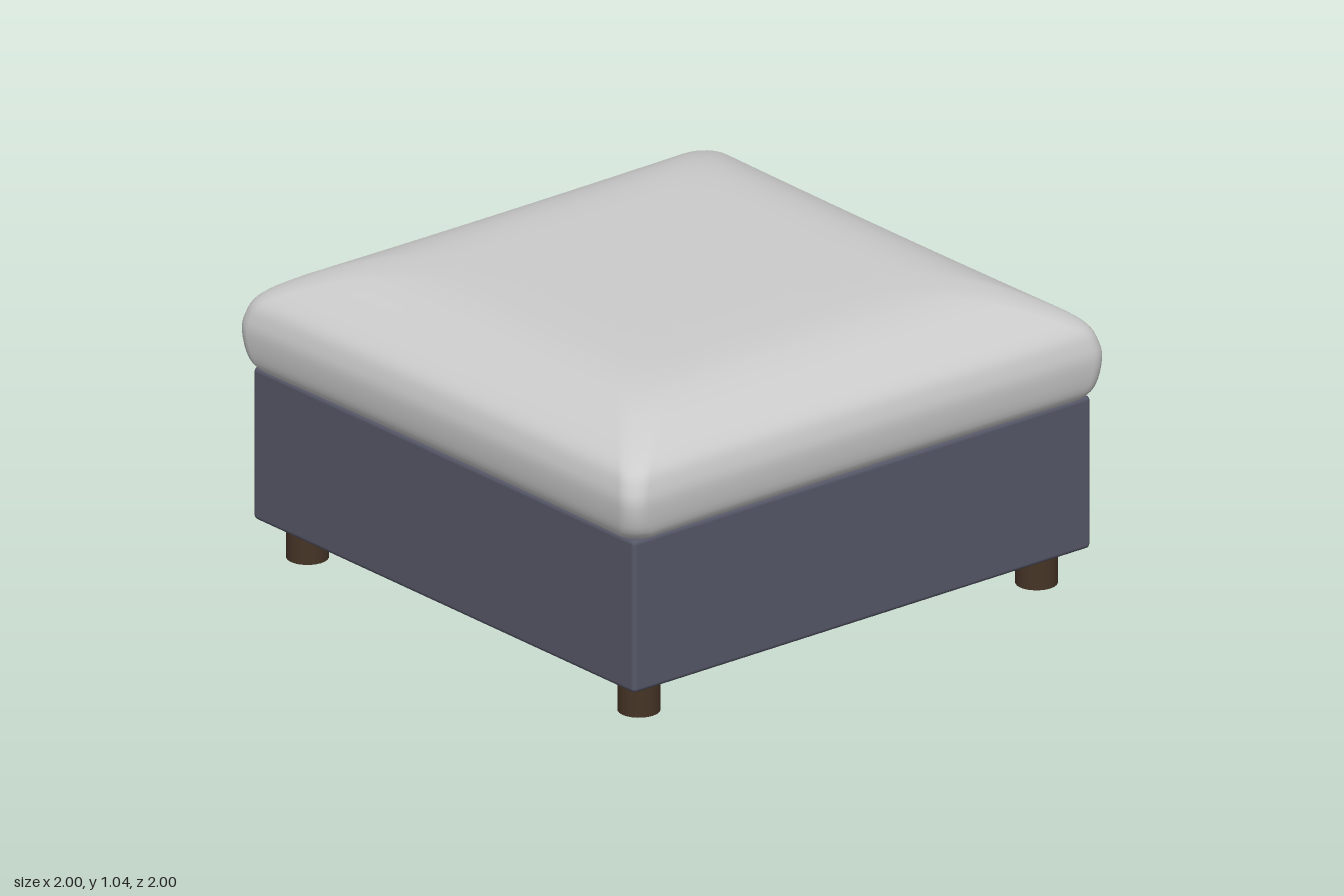
import * as THREE from 'three';
import { RoundedBoxGeometry } from 'three/addons/geometries/RoundedBoxGeometry.js';

const material = (color) => new THREE.MeshStandardMaterial({ color });

// One rounded-square loop, with sides that bow slightly inwards
function squareLoop(half, radius, y, arcSteps = 8, sideSteps = 10) {
  const points = [];
  const c = half - radius;
  for (let side = 0; side < 4; side++) {
    const turn = (side * Math.PI) / 2;
    const add = (x, z) => {
      const bx = x * (1 - 0.01 * (1 - (z / half) ** 2));
      const bz = z * (1 - 0.01 * (1 - (x / half) ** 2));
      points.push([
        bx * Math.cos(turn) - bz * Math.sin(turn), y,
        bx * Math.sin(turn) + bz * Math.cos(turn),
      ]);
    };
    for (let i = 0; i <= arcSteps; i++) {
      const a = ((i / arcSteps) * Math.PI) / 2;
      add(c + radius * Math.cos(a), c + radius * Math.sin(a));
    }
    for (let i = 1; i < sideSteps; i++) add(c - (2 * c * i) / sideSteps, half);
  }
  return points;
}

// Puffy cushion: loops follow a profile of (half width, height)
function cushionGeometry() {
  const profile = new THREE.SplineCurve([
    [0.9, 0.65], [0.95, 0.65], [0.985, 0.69], [1, 0.78], [0.993, 0.84], [0.968, 0.895],
    [0.9, 0.945], [0.8, 0.995], [0.7, 1.023], [0.58, 1.035], [0.4, 1.037], [0.2, 1.037],
  ].map(([x, y]) => new THREE.Vector2(x, y)));
  const positions = [];
  const indices = [];
  const rows = 44;
  let n = 0;
  for (let j = 0; j <= rows; j++) {
    const p = profile.getPoint(j / rows);
    const loop = squareLoop(p.x, Math.min(0.07 + Math.max(0, 1 - p.x) * 0.25, p.x * 0.6), p.y);
    n = loop.length;
    loop.forEach((v) => positions.push(...v));
  }
  for (let j = 0; j < rows; j++) {
    for (let i = 0; i < n; i++) {
      const a = j * n + i;
      const b = j * n + ((i + 1) % n);
      indices.push(a, a + n, b, b, a + n, b + n);
    }
  }
  // Close the underside and the flat middle of the top
  const bottom = positions.length / 3;
  positions.push(0, 0.65, 0, 0, 1.037, 0);
  for (let i = 0; i < n; i++) {
    const k = (i + 1) % n;
    indices.push(bottom, i, k, bottom + 1, rows * n + k, rows * n + i);
  }
  const geometry = new THREE.BufferGeometry();
  geometry.setAttribute('position', new THREE.Float32BufferAttribute(positions, 3));
  geometry.setIndex(indices);
  geometry.computeVertexNormals();
  return geometry;
}

export function createModel() {
  const model = new THREE.Group();
  model.name = 'footstool';

  const cushion = new THREE.Mesh(cushionGeometry(), material(0xcccccc));
  cushion.name = 'cushion';
  model.add(cushion);

  // Upholstered box
  const base = new THREE.Mesh(new RoundedBoxGeometry(1.91, 0.53, 1.91, 3, 0.016), material(0x565868));
  base.name = 'base';
  base.position.y = 0.39;
  model.add(base);

  // Short round legs
  const legGeometry = new THREE.CylinderGeometry(0.069, 0.069, 0.13, 24);
  const wood = material(0x463426);
  for (const x of [-0.83, 0.83]) {
    for (const z of [-0.83, 0.83]) {
      const leg = new THREE.Mesh(legGeometry, wood);
      leg.name = `${z > 0 ? 'front' : 'back'}${x > 0 ? 'Left' : 'Right'}Leg`;
      leg.position.set(x, 0.065, z);
      model.add(leg);
    }
  }
  return model;
}
